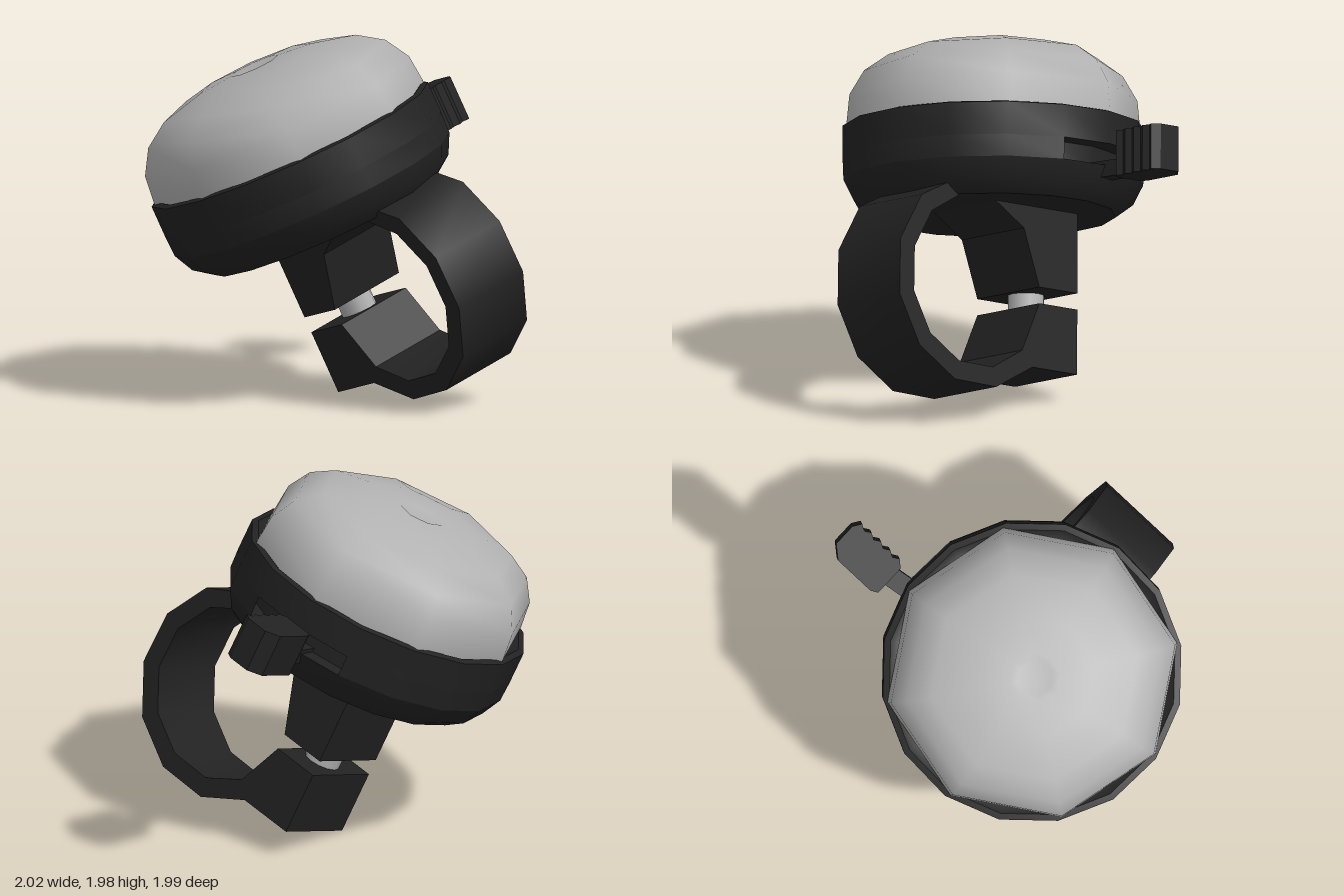
import * as THREE from 'three';
import { toCreasedNormals } from 'three/addons/utils/BufferGeometryUtils.js';

const deg = Math.PI / 180;
const v2 = ([x, y]) => new THREE.Vector2(x, y);

export function createModel() {
  const steel = new THREE.MeshStandardMaterial({ color: 0xb2b2b2 });
  steel.name = 'brushed steel';
  const black = new THREE.MeshStandardMaterial({ color: 0x222222, side: THREE.DoubleSide });
  black.name = 'black plastic';

  const model = new THREE.Group();
  model.name = 'handlebarBell';

  // Tilted frame: y is the bell axis, x the handlebar axis
  const bell = new THREE.Group();
  bell.name = 'bell';
  const up = new THREE.Vector3(-0.365, 0.913, -0.183).normalize();
  const front = new THREE.Vector3(0.902, 0.303, -0.307).cross(up).normalize();
  const side = new THREE.Vector3().crossVectors(up, front);
  bell.quaternion.setFromRotationMatrix(new THREE.Matrix4().makeBasis(side, up, front));
  bell.position.set(-0.315, 1.54, -0.23);
  model.add(bell);

  const add = (name, geometry, material) => {
    const mesh = new THREE.Mesh(geometry, material);
    mesh.name = name;
    bell.add(mesh);
    return mesh;
  };

  // Eight-sided dome with a shallow dimple on top
  const domeProfile = [
    [0.80, -0.22], [0.805, -0.15], [0.79, 0], [0.71, 0.135], [0.575, 0.228],
    [0.34, 0.285], [0.14, 0.305], [0.10, 0.29], [0, 0.29],
  ];
  add('dome', new THREE.LatheGeometry(domeProfile.map(v2), 8, 99.5 * deg), steel);

  // Base cup in three bands, the middle one open for the lever slot
  const slotEdge = (98 + 22.5) * deg;
  const band = (name, profile, segments) => add(name, toCreasedNormals(
    new THREE.LatheGeometry(profile.map(v2), segments, slotEdge, segments * 22.5 * deg), 0.6), black);
  band('cupBottom', [[0, -0.65], [0.67, -0.65], [0.765, -0.58], [0.82, -0.47], [0.68, -0.47]], 16);
  band('cupMiddle', [[0.82, -0.47], [0.825, -0.35]], 14);
  band('cupCore', [[0.7, -0.48], [0.7, -0.34]], 16);
  band('cupRim', [[0.68, -0.35], [0.825, -0.35], [0.825, -0.17], [0.79, -0.16], [0.74, -0.19], [0, -0.19]], 16);

  // Handlebar clamp: a twelve-sided split ring with two square jaws
  const ringPoint = (r, angle) => [0.43 + r * Math.cos(angle * deg), -1.11 + r * Math.sin(angle * deg)];
  const outline = [[-0.31, -1.09], [-0.31, -0.61], [0.66, -0.6]];
  for (let a = 46; a >= -104; a -= 30) outline.push(ringPoint(0.59, a));
  outline.push([0.02, -1.54], [-0.31, -1.54], [-0.31, -1.18], [-0.03, -1.18]);
  for (let a = -134; a <= 136; a += 30) outline.push(ringPoint(0.48, a));
  outline.push([-0.03, -1.09]);
  const clamp = new THREE.ExtrudeGeometry(new THREE.Shape(outline.map(v2)), { depth: 0.5, bevelEnabled: false });
  clamp.rotateY(-Math.PI / 2).translate(0.34, 0, 0);
  add('clamp', toCreasedNormals(clamp, 0.6), black);

  // Screw between the jaws
  add('clampScrew', new THREE.CylinderGeometry(0.1, 0.1, 0.3, 12), steel).position.set(0.09, -1.13, -0.16);

  // Lever arm leaving the slot
  const arm = add('leverArm', new THREE.BoxGeometry(0.42, 0.09, 0.11), black);
  arm.position.set(0.81, -0.49, -0.14);
  arm.rotation.y = 8 * deg;

  // Thumb pad with a ribbed front
  const pad = [[0.9, -0.26], [0.94, -0.28], [1.18, -0.28], [1.25, -0.22], [1.25, -0.09]];
  for (let i = 0; i <= 8; i++) pad.push([1.22 - i * 0.035, i % 2 ? -0.065 : -0.045]);
  pad.push([0.9, -0.08]);
  const padGeometry = new THREE.ExtrudeGeometry(new THREE.Shape(pad.map(v2)), { depth: 0.25, bevelEnabled: false });
  padGeometry.rotateX(Math.PI / 2).translate(0, -0.3, 0);
  add('thumbPad', padGeometry, black);

  return model;
}
